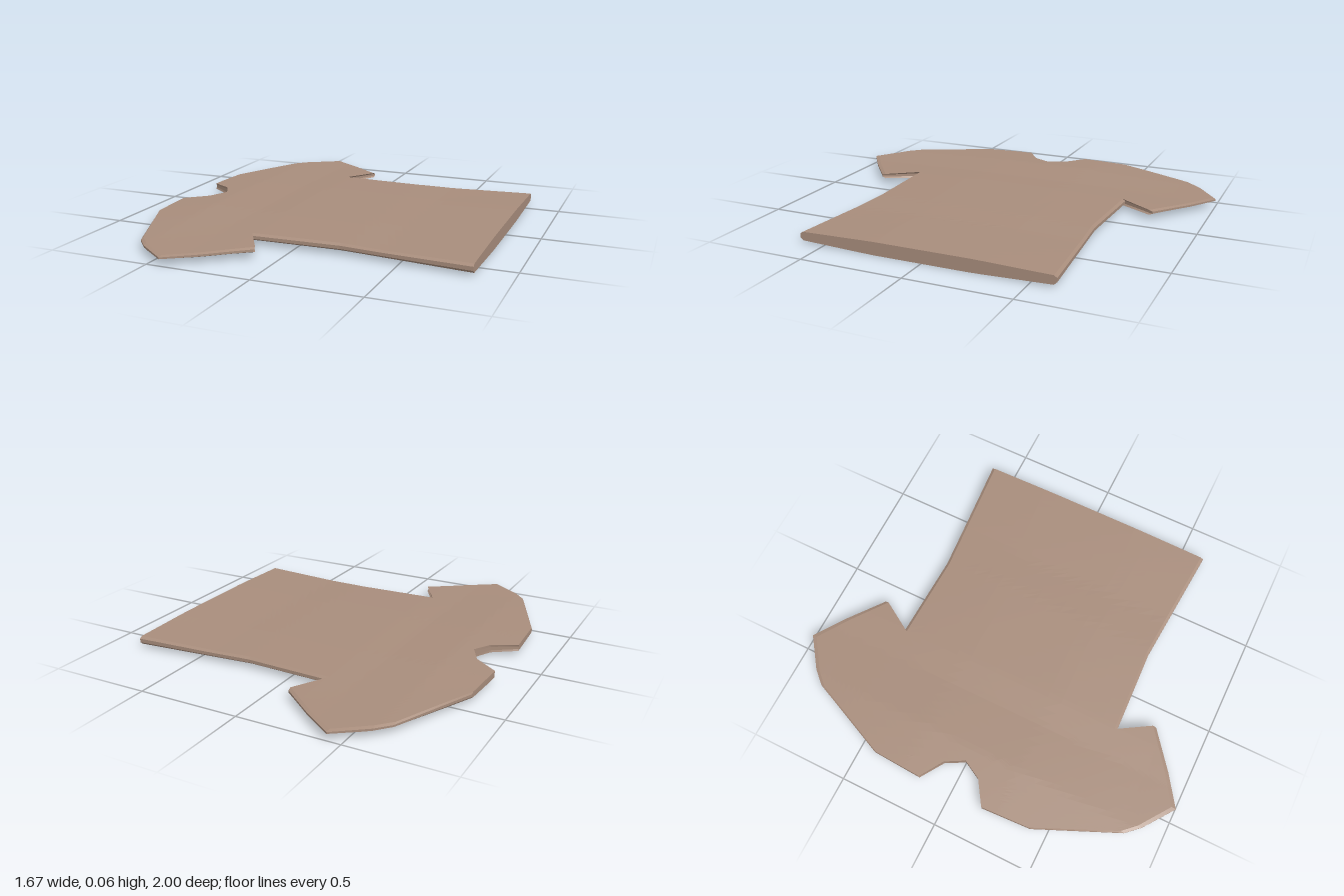
import * as THREE from 'three';

const MID = 0.036; // height of the side seam
const LEVELS = 4;

// Piecewise linear lookup in [position, value] pairs
function ramp(pairs, t) {
  for (let i = 1; i < pairs.length; i++) {
    const [a, va] = pairs[i - 1], [b, vb] = pairs[i];
    if (t <= b) return va + (vb - va) * Math.max(0, (t - a) / (b - a));
  }
  return pairs[pairs.length - 1][1];
}

// Cloth thickness above and below the seam, along the shirt and out to the sleeves
const FRONT = [[-0.84, 0.015], [-0.6, 0.027], [-0.35, 0.02], [-0.2, 0.025], [0.25, 0.025], [0.42, 0.02], [0.84, 0.027]];
const BACK = [[-0.84, 0.016], [-0.62, 0.02], [-0.55, 0.033], [-0.32, 0.033], [-0.2, 0.023], [0.2, 0.023], [0.84, 0.036]];
const SIDE = [[0, 1], [0.25, 1], [0.6, 0.66], [0.8, 0.45], [1, 0.3]];
const height = (x, z, s) => MID + s * ramp(s > 0 ? FRONT : BACK, x) * ramp(SIDE, Math.abs(z));

// Half outline from collar to hem as [x, z]
const HALF = [[-0.67, 0], [-0.72, 0.095], [-0.835, 0.172], [-0.822, 0.42], [-0.645, 0.825],
  [-0.585, 0.89], [-0.435, 1], [-0.29, 0.9], [-0.11, 0.758], [-0.21, 0.592], [0.22, 0.574], [0.833, 0.619]];

export function createModel() {
  const cloth = new THREE.MeshStandardMaterial({ color: 0xa88d7c, flatShading: true });
  cloth.name = 'taupe cloth';
  const group = new THREE.Group();
  group.name = 'shirt';

  const mirrored = HALF.slice(1).reverse().map(([x, z]) => [x, -z]);
  const outer = [...HALF, ...mirrored].map(([x, z]) => new THREE.Vector2(x, z));
  const inner = outer.map((p) => new THREE.Vector2(p.x, p.y * 0.977));

  const addMesh = (name, pos) => {
    const geo = new THREE.BufferGeometry();
    geo.setAttribute('position', new THREE.Float32BufferAttribute(pos, 3));
    geo.computeVertexNormals();
    const mesh = new THREE.Mesh(geo, cloth);
    mesh.name = name;
    group.add(mesh);
  };

  // Front and back panels: subdivided outline shaped by the thickness rule
  const panel = (s) => {
    const pos = [];
    const split = (a, b, c, n) => {
      if (n === 0) {
        for (const p of [a, b, c]) pos.push(p.x, height(p.x, p.y, s), p.y);
        return;
      }
      const mid = (p, q) => p.clone().add(q).multiplyScalar(0.5);
      const ab = mid(a, b), bc = mid(b, c), ca = mid(c, a);
      split(a, ab, ca, n - 1);
      split(ab, b, bc, n - 1);
      split(ca, bc, c, n - 1);
      split(ab, bc, ca, n - 1);
    };
    for (const face of THREE.ShapeUtils.triangulateShape(inner, [])) {
      const [a, b, c] = face.map((i) => inner[i]);
      const turn = b.clone().sub(a).cross(c.clone().sub(a));
      if (turn * s < 0) split(a, b, c, LEVELS);
      else split(a, c, b, LEVELS);
    }
    return pos;
  };
  addMesh('frontPanel', panel(1));
  addMesh('backPanel', panel(-1));

  // Edge: bevel, narrow upright band, bevel
  const rim = [];
  const steps = 2 ** LEVELS;
  const section = (i, t) => {
    const j = (i + 1) % outer.length;
    const o = outer[i].clone().lerp(outer[j], t), p = inner[i].clone().lerp(inner[j], t);
    const band = (s) => MID + (height(p.x, p.y, s) - MID) * 0.45;
    return [[p.x, height(p.x, p.y, -1), p.y], [o.x, band(-1), o.y],
      [o.x, band(1), o.y], [p.x, height(p.x, p.y, 1), p.y]];
  };
  for (let i = 0; i < outer.length; i++) {
    for (let k = 0; k < steps; k++) {
      const a = section(i, k / steps), b = section(i, (k + 1) / steps);
      for (let r = 0; r < 3; r++) {
        rim.push(...a[r], ...b[r], ...b[r + 1], ...a[r], ...b[r + 1], ...a[r + 1]);
      }
    }
  }
  addMesh('edgeSeam', rim);
  return group;
}
